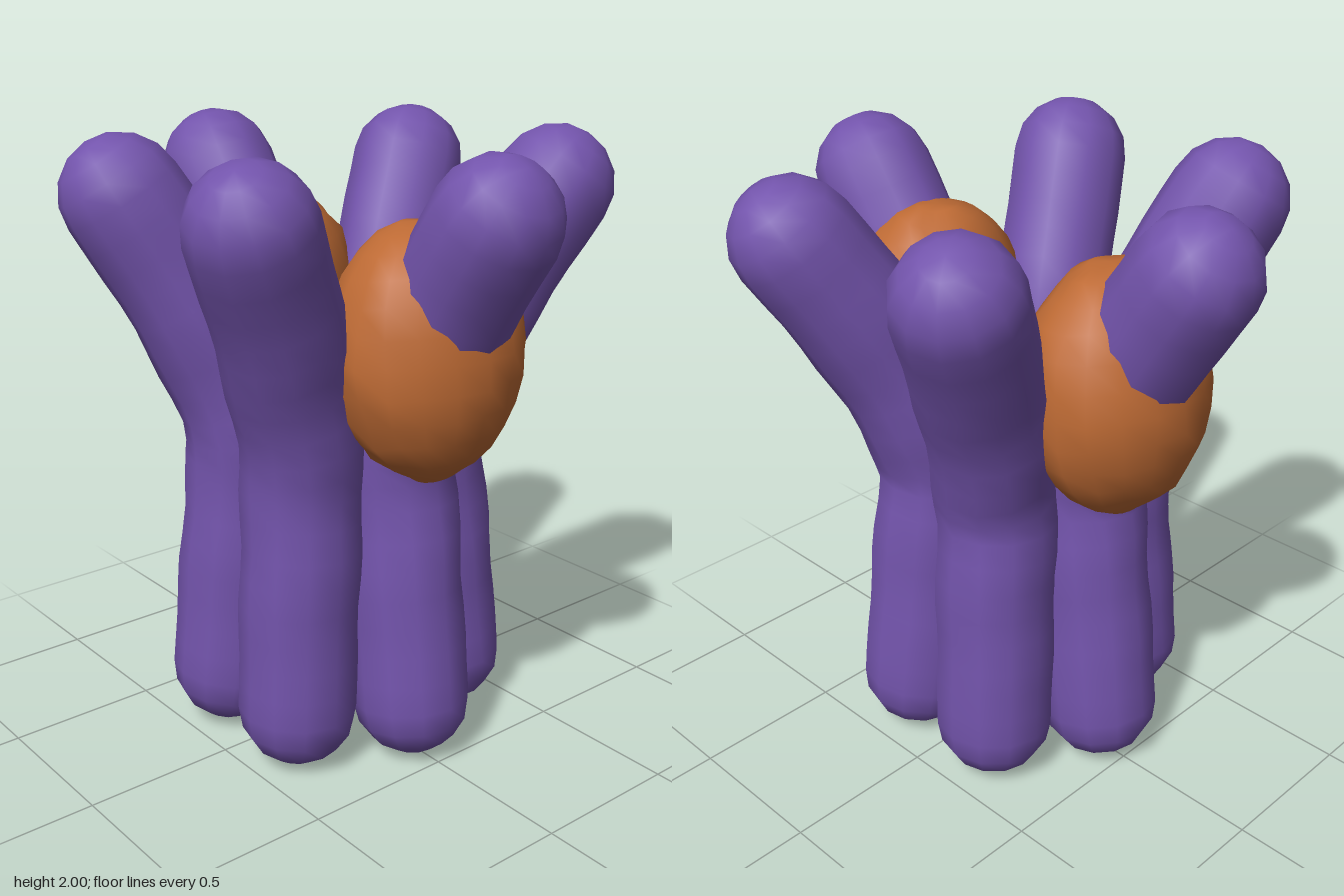
import * as THREE from 'three';
import { mergeVertices } from 'three/addons/utils/BufferGeometryUtils.js';

const RADIUS = 0.194;
const purple = new THREE.MeshStandardMaterial({ color: 0x7354ac });
const orange = new THREE.MeshStandardMaterial({ color: 0xbd6a34 });

// Each arm passes through a foot, a waist and a tip, given as [x, z]
const ARMS = [
  { name: 'leftArm', foot: [0.36, 0], waist: [0.265, 0], tip: [0.675, 0] },
  { name: 'frontLeftArm', foot: [0.18, 0.33], waist: [0.175, 0.295], tip: [0.335, 0.585] },
  { name: 'frontRightArm', foot: [-0.195, 0.335], waist: [-0.155, 0.262], tip: [-0.345, 0.58] },
  { name: 'rightArm', foot: [-0.38, 0], waist: [-0.283, 0], tip: [-0.675, 0] },
  { name: 'backRightArm', foot: [-0.19, -0.315], waist: [-0.17, -0.275], tip: [-0.35, -0.585] },
  { name: 'backLeftArm', foot: [0.18, -0.315], waist: [0.145, -0.225], tip: [0.335, -0.595] },
];

// Drop UVs and seams so that the lumpy skin shades smoothly
function smooth(geometry) {
  geometry.deleteAttribute('uv');
  geometry.deleteAttribute('normal');
  const welded = mergeVertices(geometry, 1e-4);
  welded.computeVertexNormals();
  return welded;
}

// Centre line: foot to waist to tip, with the bend just above the waist
function armCurve({ foot, waist, tip }) {
  const point = (a, b, k, y) => new THREE.Vector3(
    THREE.MathUtils.lerp(a[0], b[0], k), y, THREE.MathUtils.lerp(a[1], b[1], k));
  return new THREE.CatmullRomCurve3([
    point(foot, waist, 0, 0.196), point(foot, waist, 0.4, 0.5), point(foot, waist, 0.8, 0.8),
    point(waist, tip, 0, 1.03), point(waist, tip, 0.24, 1.3), point(waist, tip, 0.58, 1.55),
    point(waist, tip, 1, 1.805),
  ]);
}

// A capsule bent along the centre line, with slight swellings
function armGeometry(arm, seed) {
  const curve = armCurve(arm);
  const length = curve.getLength();
  const outward = new THREE.Vector3(arm.tip[0], 0, arm.tip[1]).normalize();
  const geometry = new THREE.CapsuleGeometry(RADIUS, length, 4, 12, 18);
  const pos = geometry.attributes.position;
  const v = new THREE.Vector3();
  for (let i = 0; i < pos.count; i++) {
    v.fromBufferAttribute(pos, i);
    const along = v.y + length / 2;
    const t = THREE.MathUtils.clamp(along / length, 0, 1);
    const tangent = curve.getTangentAt(t);
    const out = outward.clone().addScaledVector(tangent, -outward.dot(tangent)).normalize();
    const side = new THREE.Vector3().crossVectors(out, tangent);
    const belly = Math.sin(t * Math.PI);
    const swell = 1 + 0.035 * belly * Math.sin(t * 26 + v.z * 8 + seed);
    const p = curve.getPointAt(t)
      .addScaledVector(out, v.x * swell * (1 + 0.06 * belly))
      .addScaledVector(tangent, along - t * length)
      .addScaledVector(side, v.z * swell);
    pos.setXYZ(i, p.x, p.y, p.z);
  }
  return smooth(geometry);
}

// A lumpy egg
function bulbGeometry(seed) {
  const geometry = smooth(new THREE.SphereGeometry(1, 18, 14));
  const pos = geometry.attributes.position;
  const v = new THREE.Vector3();
  for (let i = 0; i < pos.count; i++) {
    v.fromBufferAttribute(pos, i);
    const lump = 1 + 0.03 * Math.sin(v.x * 7 + seed) * Math.cos(v.y * 8 + v.z * 6 + seed);
    pos.setXYZ(i, v.x * 0.265 * lump, v.y * 0.395 * lump, v.z * 0.323 * lump);
  }
  geometry.computeVertexNormals();
  return geometry;
}

export function createModel() {
  const model = new THREE.Group();
  model.name = 'armCluster';

  // Six arms in a ring, leaning outward at the top
  ARMS.forEach((arm, i) => {
    const mesh = new THREE.Mesh(armGeometry(arm, i * 1.3), purple);
    mesh.name = arm.name;
    model.add(mesh);
  });

  // One bulb wrapped around each side arm
  for (const side of [1, -1]) {
    const bulb = new THREE.Mesh(bulbGeometry(side), orange);
    bulb.name = side > 0 ? 'leftBulb' : 'rightBulb';
    bulb.position.set(side * 0.405, 1.38, 0);
    bulb.rotation.z = side * 0.1;
    model.add(bulb);
  }
  return model;
}
